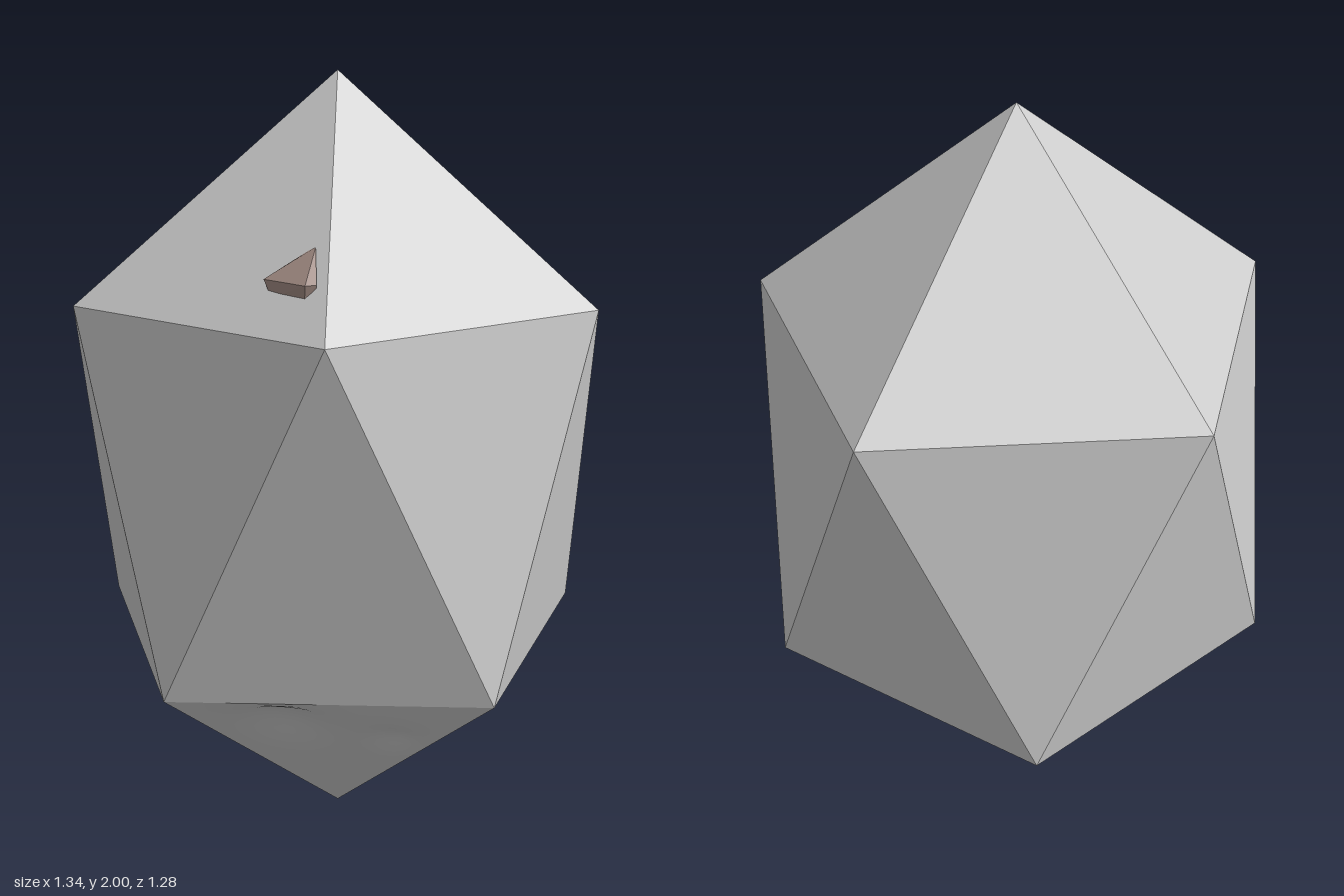
import * as THREE from 'three';
import { ConvexGeometry } from 'three/addons/geometries/ConvexGeometry.js';

const V = (x, y, z) => new THREE.Vector3(x, y, z);
const RADIUS = 0.671;

// five points around the vertical axis
const ring = (y, offset) => Array.from({ length: 5 }, (_, k) => {
  const a = (offset + 72 * k) * Math.PI / 180;
  return V(RADIUS * Math.cos(a), y, RADIUS * Math.sin(a));
});

// finely divided triangle, pressed inwards by soft round dents; its rim stays put
function dentedFace(a, b, c, dents, n = 28) {
  const normal = b.clone().sub(a).cross(c.clone().sub(a)).normalize();
  const pos = [], index = [];
  const id = (i, j) => i * (i + 1) / 2 + j;
  for (let i = 0; i <= n; i++) for (let j = 0; j <= i; j++) {
    const wc = 1 - i / n, wb = j / n, wa = 1 - wc - wb;
    const p = V(0, 0, 0).addScaledVector(a, wa).addScaledVector(b, wb).addScaledVector(c, wc);
    const rim = Math.min(1, Math.max(0, Math.min(wa, wb, wc)) * 10);
    let depth = 0;
    for (const [x, y, r, d] of dents) {
      depth += d * Math.exp(-((p.x - x) ** 2 + (p.y - y) ** 2) / (r * r));
    }
    p.addScaledVector(normal, -depth * rim);
    pos.push(p.x, p.y, p.z);
    if (i < n) {
      index.push(id(i, j), id(i + 1, j), id(i + 1, j + 1));
      if (j < i) index.push(id(i, j), id(i + 1, j + 1), id(i, j + 1));
    }
  }
  const g = new THREE.BufferGeometry();
  g.setAttribute('position', new THREE.Float32BufferAttribute(pos, 3));
  g.setIndex(index);
  g.computeVertexNormals();
  return g;
}

export function createModel() {
  const group = new THREE.Group();
  const grey = new THREE.MeshStandardMaterial({ color: 0xcccccc, flatShading: true });
  const smoothGrey = new THREE.MeshStandardMaterial({ color: 0xcccccc, side: THREE.DoubleSide });
  const brown = new THREE.MeshStandardMaterial({ color: 0xa08a82, flatShading: true });
  const add = (name, geometry, material) => {
    const mesh = new THREE.Mesh(geometry, material);
    mesh.name = name;
    group.add(mesh);
  };

  // tall twenty-sided body, leaving one lower front face open
  const upper = ring(1.447, 0), lower = ring(0.553, 36);
  const top = V(0, 2, 0), bottom = V(0, 0, 0);
  const corners = [];
  for (let k = 0; k < 5; k++) {
    const m = (k + 1) % 5;
    corners.push(top, upper[m], upper[k]);
    corners.push(upper[k], upper[m], lower[k]);
    corners.push(lower[m], lower[k], upper[m]);
    if (k !== 0) corners.push(lower[k], lower[m], bottom);
  }
  const body = new THREE.BufferGeometry().setFromPoints(corners);
  body.computeVertexNormals();
  add('facetedBody', body, grey);

  // lower front face with two shallow worn hollows
  add('wornFace', dentedFace(lower[0], lower[1], bottom, [
    [0.03, 0.45, 0.09, 0.03],
    [0.26, 0.37, 0.06, 0.02],
  ]), smoothGrey);

  // small stone set into the upper front face
  add('stone', new ConvexGeometry([
    V(0, 1.56, 0.48), V(0, 1.545, 0.455), V(0.085, 1.62, 0.42), V(0.105, 1.63, 0.425),
    V(0.14, 1.56, 0.51), V(0.12, 1.56, 0.53), V(0.02, 1.52, 0.485), V(0.115, 1.52, 0.52),
    V(0.135, 1.54, 0.5), V(0.07, 1.54, 0.44),
  ]), brown);

  return group;
}
